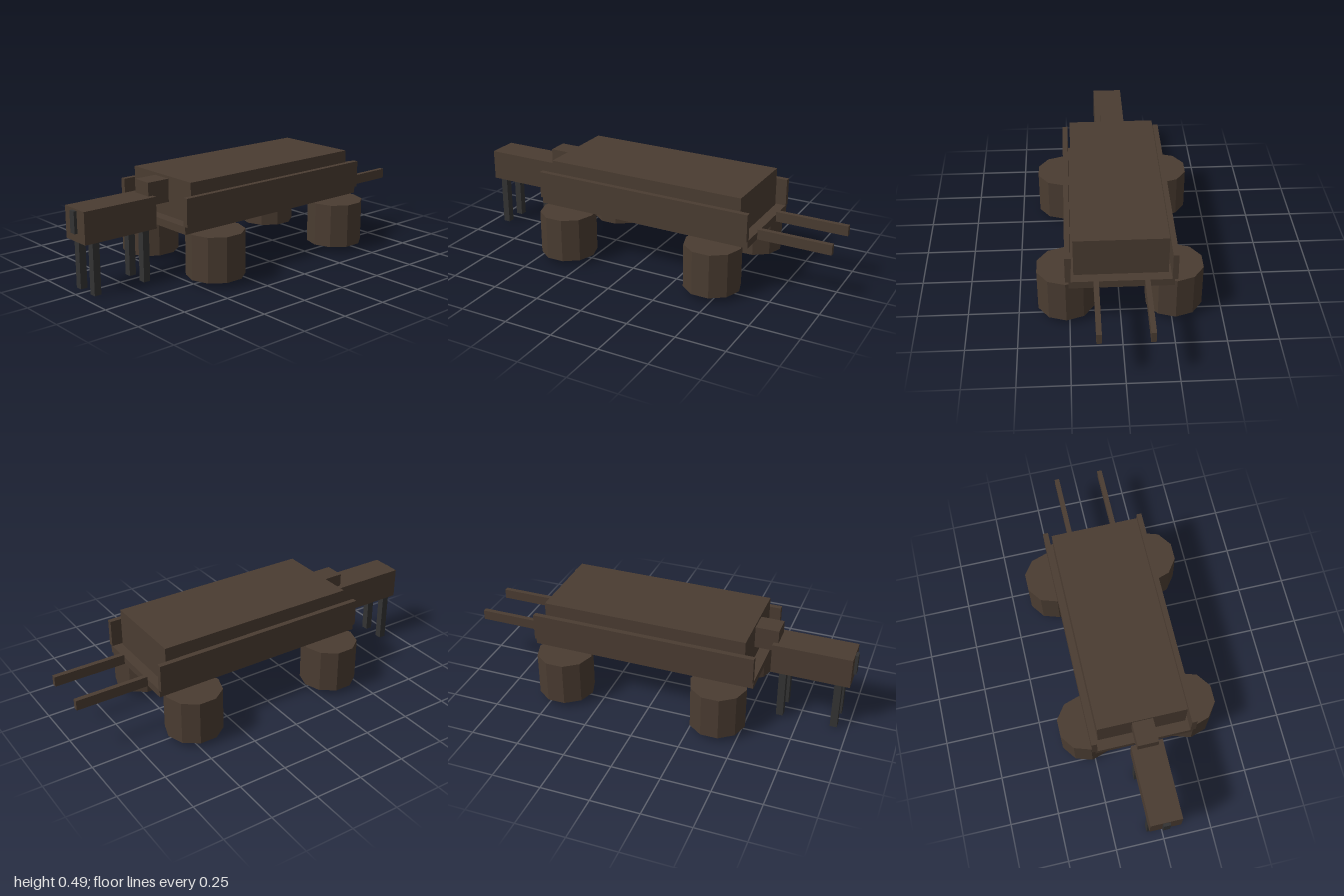
import * as THREE from 'three';

export function createModel() {
  const model = new THREE.Group();
  model.name = 'cart';

  const brown = new THREE.MeshStandardMaterial({ name: 'dark brown wood', color: 0x4a3c31, flatShading: true });
  const grey = new THREE.MeshStandardMaterial({ name: 'charcoal', color: 0x333333, flatShading: true });

  // box given by its extents along each axis
  function box(name, material, [x0, x1], [y0, y1], [z0, z1]) {
    const mesh = new THREE.Mesh(new THREE.BoxGeometry(x1 - x0, y1 - y0, z1 - z0), material);
    mesh.position.set((x0 + x1) / 2, (y0 + y1) / 2, (z0 + z1) / 2);
    mesh.name = name;
    model.add(mesh);
  }

  // cart bed and its load
  box('bed', brown, [-0.545, 0.625], [0.255, 0.293], [-0.25, 0.25]);
  box('load', brown, [-0.49, 0.573], [0.293, 0.493], [-0.226, 0.226]);

  // ten-sided upright wheel drums
  const drum = new THREE.CylinderGeometry(0.145, 0.145, 0.226, 10);
  drum.rotateY(Math.PI / 2);

  for (const side of [1, -1]) {
    // side boards and rear handles
    const span = (a, b) => (side > 0 ? [a, b] : [-b, -a]);
    box('sideBoard', brown, [-0.545, 0.625], [0.293, 0.433], span(0.239, 0.266));
    box('handle', brown, [0.625, 1], [0.255, 0.307], span(0.108, 0.133));

    for (const x of [-0.375, 0.453]) {
      const wheel = new THREE.Mesh(drum, brown);
      wheel.position.set(x, 0.141, side * 0.266);
      wheel.name = 'wheel';
      model.add(wheel);
    }

    // thin legs of the pulling body
    for (const x of [-0.927, -0.648]) {
      box('leg', grey, [x - 0.018, x + 0.018], [0, 0.255], span(0.041, 0.078));
    }
  }

  // pulling body, its link to the cart and the end piece
  box('body', brown, [-0.985, -0.585], [0.255, 0.413], [-0.08, 0.08]);
  box('link', brown, [-0.61, -0.49], [0.365, 0.48], [-0.053, 0.053]);
  box('endPiece', grey, [-1, -0.985], [0.297, 0.405], [-0.018, 0.018]);

  return model;
}
